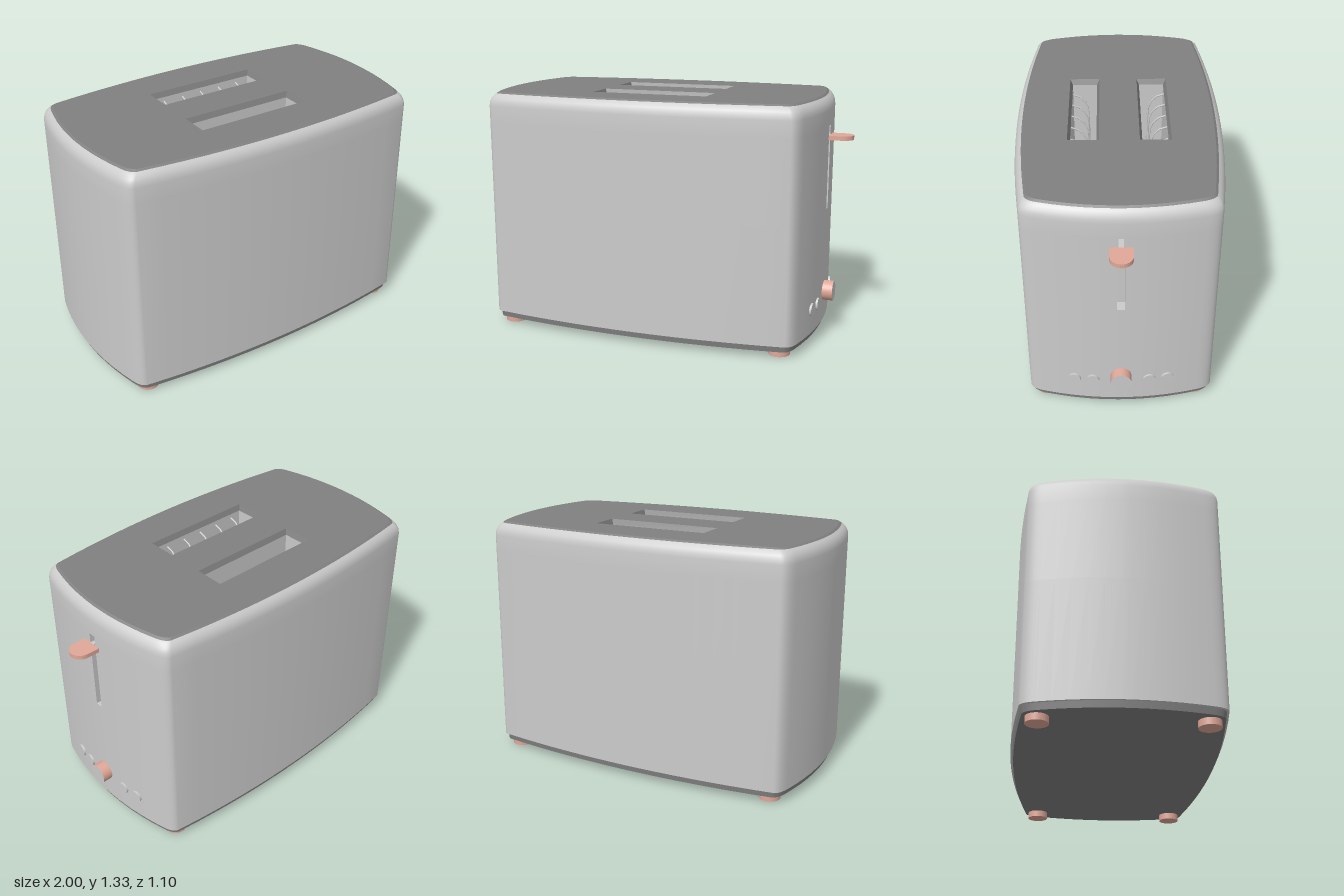
import * as THREE from 'three';
import { toCreasedNormals } from 'three/addons/utils/BufferGeometryUtils.js';

const grey = new THREE.MeshStandardMaterial({ color: 0xcccccc });
const inside = new THREE.MeshStandardMaterial({ color: 0xcccccc, side: THREE.BackSide });
const dark = new THREE.MeshStandardMaterial({ color: 0x808080 });
const copper = new THREE.MeshStandardMaterial({ color: 0xe0a898 });

const HX = 0.935, HZ = 0.55, TOP = 1.325;
const endX = z => HX - 0.315 * z * z;
const sideZ = x => HZ - 0.087 * x * x;

// Bowed rectangle with rounded corners, as [x, z] pairs
function bodyOutline() {
  const q = [];
  for (const z of [0.02, 0.1, 0.18, 0.26, 0.34]) q.push([endX(z), z]);
  const corner = new THREE.QuadraticBezierCurve(
    new THREE.Vector2(endX(0.41), 0.41), new THREE.Vector2(0.865, 0.482), new THREE.Vector2(0.83, sideZ(0.83)));
  corner.getPoints(8).forEach(p => q.push([p.x, p.y]));
  for (let i = 7; i >= 0; i--) q.push([i * 0.1, sideZ(i * 0.1)]);
  const back = q.slice(0, -1).reverse();
  return [
    ...q,
    ...back.map(([x, z]) => [-x, z]),
    ...q.map(([x, z]) => [-x, -z]),
    ...back.map(([x, z]) => [x, -z]),
  ];
}
const OUTLINE = bodyOutline();
const inset = d => OUTLINE.map(([x, z]) => [x * (1 - d / HX), z * (1 - d / HZ)]);
const ring = (y, d) => inset(d).map(([x, z]) => [x, y, z]);

// Skin a stack of closed rings; skip(row, column) leaves a quad open
function loft(rings, skip = () => false, crease = 0.7) {
  const n = rings[0].length, index = [];
  for (let r = 0; r < rings.length - 1; r++) {
    for (let i = 0; i < n; i++) {
      if (skip(r, i)) continue;
      const j = (i + 1) % n, a = r * n, b = a + n;
      index.push(a + i, b + i, a + j, a + j, b + i, b + j);
    }
  }
  const g = new THREE.BufferGeometry();
  g.setAttribute('position', new THREE.Float32BufferAttribute(rings.flat(2), 3));
  g.setIndex(index);
  return toCreasedNormals(g, crease);
}

const flatShape = d => new THREE.Shape(inset(d).map(([x, z]) => new THREE.Vector2(x, z)));

function add(parent, name, geometry, material, x = 0, y = 0, z = 0) {
  const m = new THREE.Mesh(geometry, material);
  m.name = name;
  m.position.set(x, y, z);
  parent.add(m);
  return m;
}

// Bread slot dimensions
const SX = 0.3225, SZ = 0.0825, SLOT_Z = 0.1875;
const rect = (y, d) => [[1, -1], [1, 1], [-1, 1], [-1, -1]].map(([a, b]) => [a * (SX - d), y, b * (SZ - d)]);

function breadSlot(side) {
  const g = new THREE.Group();
  g.name = 'breadSlot';
  // Chamfered rim, walls and floor
  add(g, 'slotRim', loft([rect(TOP, 0), rect(1.295, 0.014)], undefined, 0.1), dark);
  add(g, 'slotWell', loft([rect(1.295, 0.014), rect(0.45, 0.014),
    rect(0.45, SZ)], undefined, 0.1), grey);
  add(g, 'breadRest', new THREE.BoxGeometry(0.61, 0.02, 0.014), grey, 0, 0.6, 0);
  // Wire guards curving down from the outer wall
  const wire = new THREE.CatmullRomCurve3([[0.07, 1.27], [0.02, 1.25], [-0.012, 1.2], [-0.02, 1.1], [-0.02, 0.45]]
    .map(([z, y]) => new THREE.Vector3(0, y, z * side)));
  const wireGeometry = new THREE.TubeGeometry(wire, 20, 0.005, 6);
  for (let i = -2; i <= 2; i++) add(g, 'guardWire', wireGeometry, grey, i * 0.118 - 0.008, 0, 0);
  g.position.z = side * SLOT_Z;
  return g;
}

export function createModel() {
  const model = new THREE.Group();
  model.name = 'toaster';
  const body = new THREE.Group();
  body.name = 'body';
  body.position.x = -0.065;
  model.add(body);

  // Shell with rounded shoulder and an opening for the lever track
  const profile = [[0.07, 0.03], [0.07, 0], [0.71, 0], [1.165, 0], [1.25, 0], [1.272, 0.003],
    [1.292, 0.011], [1.307, 0.023], [1.317, 0.035]];
  const last = OUTLINE.length - 1;
  add(body, 'shell', loft(profile.map(([y, d]) => ring(y, d)), (r, i) => r === 2 && i === last), grey);
  add(body, 'leverTrack', new THREE.BoxGeometry(0.06, 0.455, 0.04), inside, endX(0.02) - 0.03, 0.9375, 0);

  // Top panel, pierced by two bread slots
  add(body, 'topEdge', loft([ring(1.317, 0.035), ring(TOP, 0.047)]), dark);
  const top = flatShape(0.047);
  for (const side of [-1, 1]) {
    const hole = rect(0, 0).map(([x, , z]) => new THREE.Vector2(x, z + side * SLOT_Z));
    top.holes.push(new THREE.Path(hole));
    body.add(breadSlot(side));
  }
  add(body, 'topPanel', new THREE.ShapeGeometry(top).rotateX(-Math.PI / 2), dark, 0, TOP, 0);

  // Base plate and feet
  add(body, 'baseRim', loft([ring(0.035, 0.016), ring(0.07, 0.012)]), dark);
  add(body, 'basePlate', new THREE.ShapeGeometry(flatShape(0.016)).rotateX(Math.PI / 2), dark, 0, 0.035, 0);
  const foot = new THREE.CylinderGeometry(0.057, 0.057, 0.037, 32);
  for (const x of [-0.782, 0.782])
    for (const z of [-0.405, 0.405]) add(body, 'foot', foot, copper, x, 0.0185, z);

  // Lever tab with rounded tip on a narrow stem
  const tab = new THREE.Shape();
  tab.moveTo(0.94, -0.058);
  tab.lineTo(1.007, -0.058);
  tab.absarc(1.007, 0, 0.058, -Math.PI / 2, Math.PI / 2, false);
  tab.lineTo(0.94, 0.058);
  const tabGeometry = new THREE.ExtrudeGeometry(tab, { depth: 0.023, bevelEnabled: false, curveSegments: 20 });
  add(body, 'lever', toCreasedNormals(tabGeometry.rotateX(-Math.PI / 2), 0.7), copper, 0, 1.094, 0);
  add(body, 'leverStem', new THREE.BoxGeometry(0.08, 0.02, 0.026), grey, 0.91, 1.1055, 0);

  // Browning knob
  const knob = new THREE.CylinderGeometry(0.055, 0.055, 0.07, 40).rotateZ(-Math.PI / 2);
  add(body, 'knob', knob, [copper, grey, grey], 0.955, 0.24, 0);

  // Buttons following the bowed end
  const button = new THREE.CylinderGeometry(0.034, 0.034, 0.03, 32).rotateZ(-Math.PI / 2);
  for (const z of [-0.246, -0.149, 0.149, 0.246]) {
    const b = add(body, 'button', button, grey, endX(z) - 0.004, 0.206, z);
    b.rotation.y = -Math.atan(0.63 * z);
  }
  return model;
}
